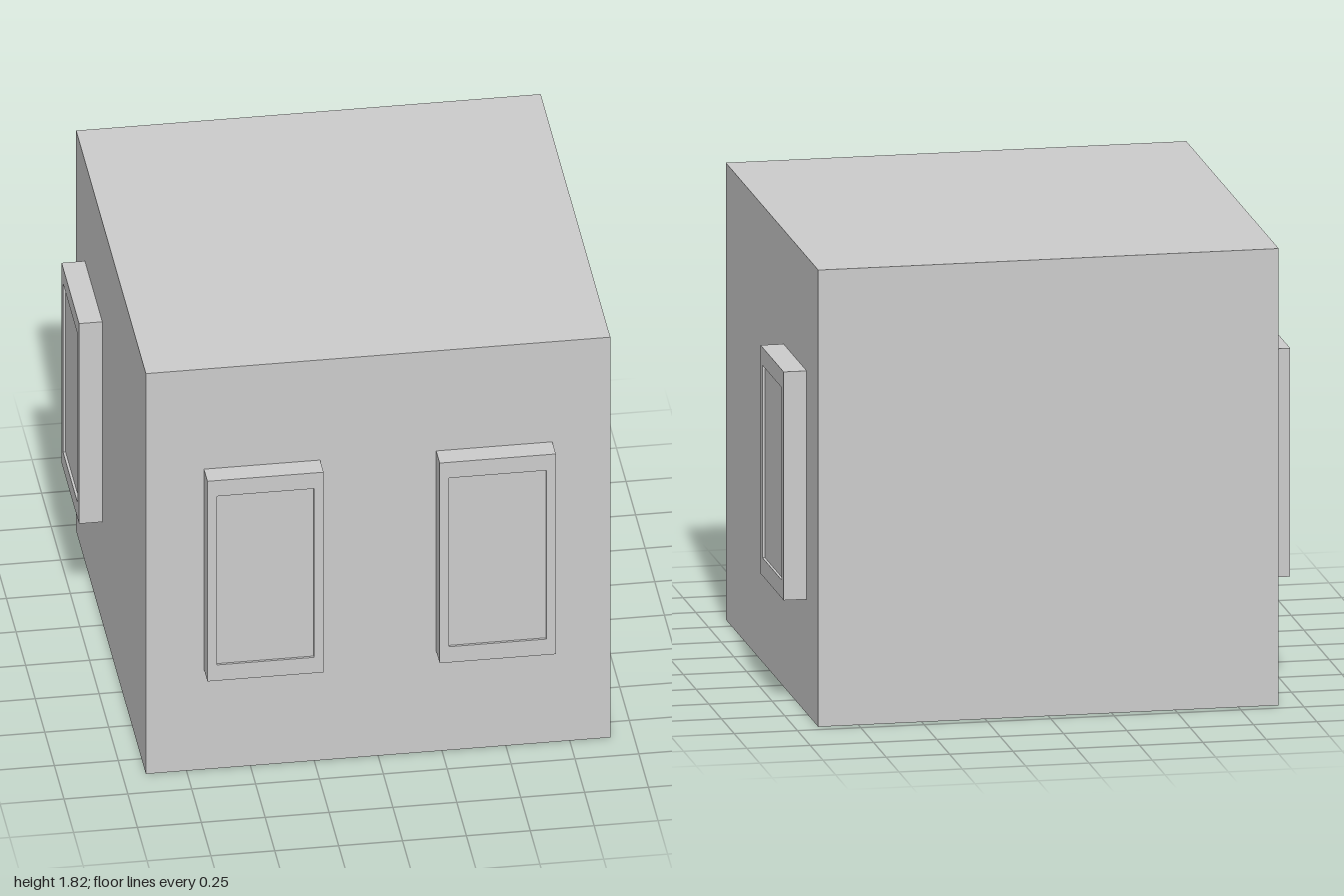
import * as THREE from 'three';

const material = new THREE.MeshStandardMaterial({ color: 0xcccccc, flatShading: true });

const SIZE = 1.818;          // edge of the cubic body
const SLAB = 0.006;          // thin floor and roof
const CENTRE_Z = -0.0455;    // body sits back to leave room for the front windows
const WIN_W = 0.4545, WIN_H = 0.909, WIN_D = 0.091;
const PANE_W = 0.38, PANE_H = 0.766, RECESS = 0.01;

function box(name, w, h, d, x, y, z) {
  const mesh = new THREE.Mesh(new THREE.BoxGeometry(w, h, d), material);
  mesh.name = name;
  mesh.position.set(x, y, z);
  return mesh;
}

function rectangle(PathType, w, h) {
  return new PathType([
    new THREE.Vector2(-w / 2, -h / 2), new THREE.Vector2(w / 2, -h / 2),
    new THREE.Vector2(w / 2, h / 2), new THREE.Vector2(-w / 2, h / 2),
  ]);
}

// Window facing +z, its back on z = 0
function createWindow(name) {
  const group = new THREE.Group();
  group.name = name;
  const outline = rectangle(THREE.Shape, WIN_W, WIN_H);
  outline.holes.push(rectangle(THREE.Path, PANE_W, PANE_H));
  const frame = new THREE.Mesh(
    new THREE.ExtrudeGeometry(outline, { depth: WIN_D, bevelEnabled: false }), material);
  frame.name = 'windowFrame';
  const paneDepth = WIN_D - RECESS;
  group.add(frame, box('windowPane', PANE_W, PANE_H, paneDepth, 0, 0, paneDepth / 2));
  return group;
}

export function createModel() {
  const model = new THREE.Group();
  model.name = 'house';

  // Body with thin floor and roof
  model.add(
    box('floor', SIZE, SLAB, SIZE, 0, SLAB / 2, CENTRE_Z),
    box('walls', SIZE, SIZE - 2 * SLAB, SIZE, 0, SIZE / 2, CENTRE_Z),
    box('roof', SIZE, SLAB, SIZE, 0, SIZE - SLAB / 2, CENTRE_Z),
  );

  // One front and one side window on each half
  for (const [side, label] of [[1, 'Left'], [-1, 'Right']]) {
    const front = createWindow('frontWindow' + label);
    front.position.set(side * 0.4545, SIZE / 2, CENTRE_Z + SIZE / 2);
    const flank = createWindow('sideWindow' + label);
    flank.position.set(side * SIZE / 2, SIZE / 2, -0.5);
    flank.rotation.y = side * Math.PI / 2;
    model.add(front, flank);
  }
  return model;
}
